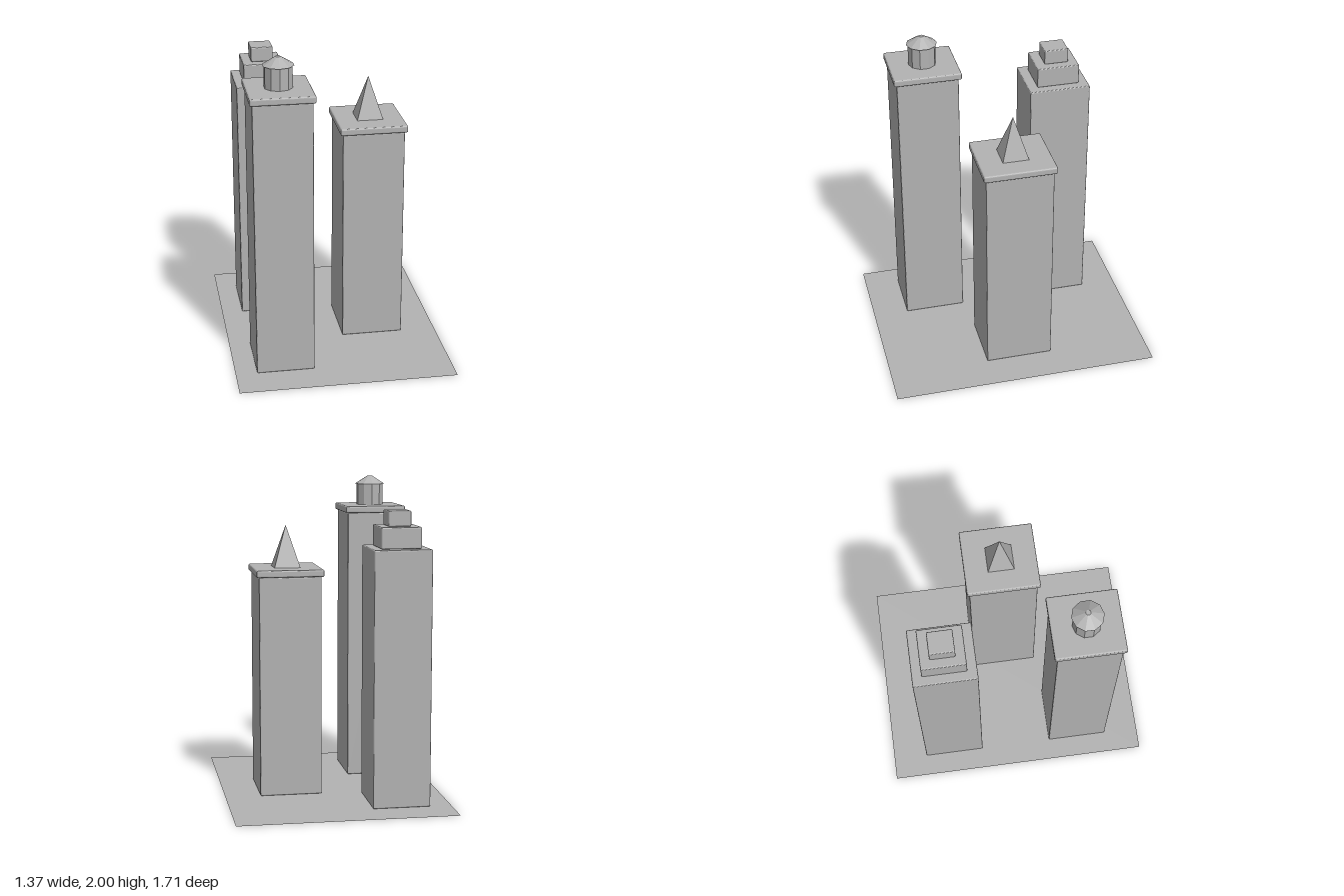
import * as THREE from 'three';
import { RoundedBoxGeometry } from 'three/addons/geometries/RoundedBoxGeometry.js';

export function createModel() {
  const city = new THREE.Group();
  city.name = 'towerBlock';

  const stone = new THREE.MeshStandardMaterial({ color: 0xb2b2b2, flatShading: true, side: THREE.DoubleSide });
  stone.name = 'grey stone';

  function add(parent, name, geometry, y) {
    const mesh = new THREE.Mesh(geometry, stone);
    mesh.name = name;
    mesh.position.y = y;
    parent.add(mesh);
    return mesh;
  }

  // Softly bevelled block standing between two heights
  function block(parent, name, width, depth, bottom, top, bevel = 0.008) {
    const geometry = new RoundedBoxGeometry(width, top - bottom, depth, 2, bevel);
    return add(parent, name, geometry, (bottom + top) / 2);
  }

  function tower(name, x, z) {
    const group = new THREE.Group();
    group.name = name;
    group.position.set(x, 0, z);
    city.add(group);
    return group;
  }

  // Flat ground sheet
  add(city, 'ground', new THREE.PlaneGeometry(1.37, 1.706).rotateX(-Math.PI / 2), 0);

  // Tall tower with a ten-sided roof lantern
  const lanternTower = tower('lanternTower', -0.367, 0.43);
  block(lanternTower, 'shaft', 0.365, 0.394, 0, 1.765);
  block(lanternTower, 'cornice', 0.395, 0.43, 1.765, 1.81, 0.01);
  add(lanternTower, 'lanternDrum', new THREE.CylinderGeometry(0.088, 0.088, 0.14, 10), 1.88);
  add(lanternTower, 'lanternRoof', new THREE.CylinderGeometry(0.016, 0.098, 0.052, 10), 1.974);

  // Short tower with a pyramid spire
  const spireTower = tower('spireTower', 0.263, -0.002);
  block(spireTower, 'shaft', 0.395, 0.43, 0, 1.4);
  block(spireTower, 'cornice', 0.428, 0.463, 1.4, 1.445, 0.01);
  const spire = new THREE.ConeGeometry(0.168 / Math.SQRT2, 0.27, 4).rotateY(Math.PI / 4);
  add(spireTower, 'spire', spire, 1.577);

  // Stepped tower
  const steppedTower = tower('steppedTower', -0.369, -0.432);
  block(steppedTower, 'shaft', 0.362, 0.395, 0, 1.6);
  block(steppedTower, 'lowerStep', 0.252, 0.275, 1.6, 1.732);
  block(steppedTower, 'upperStep', 0.143, 0.156, 1.732, 1.828);

  return city;
}
